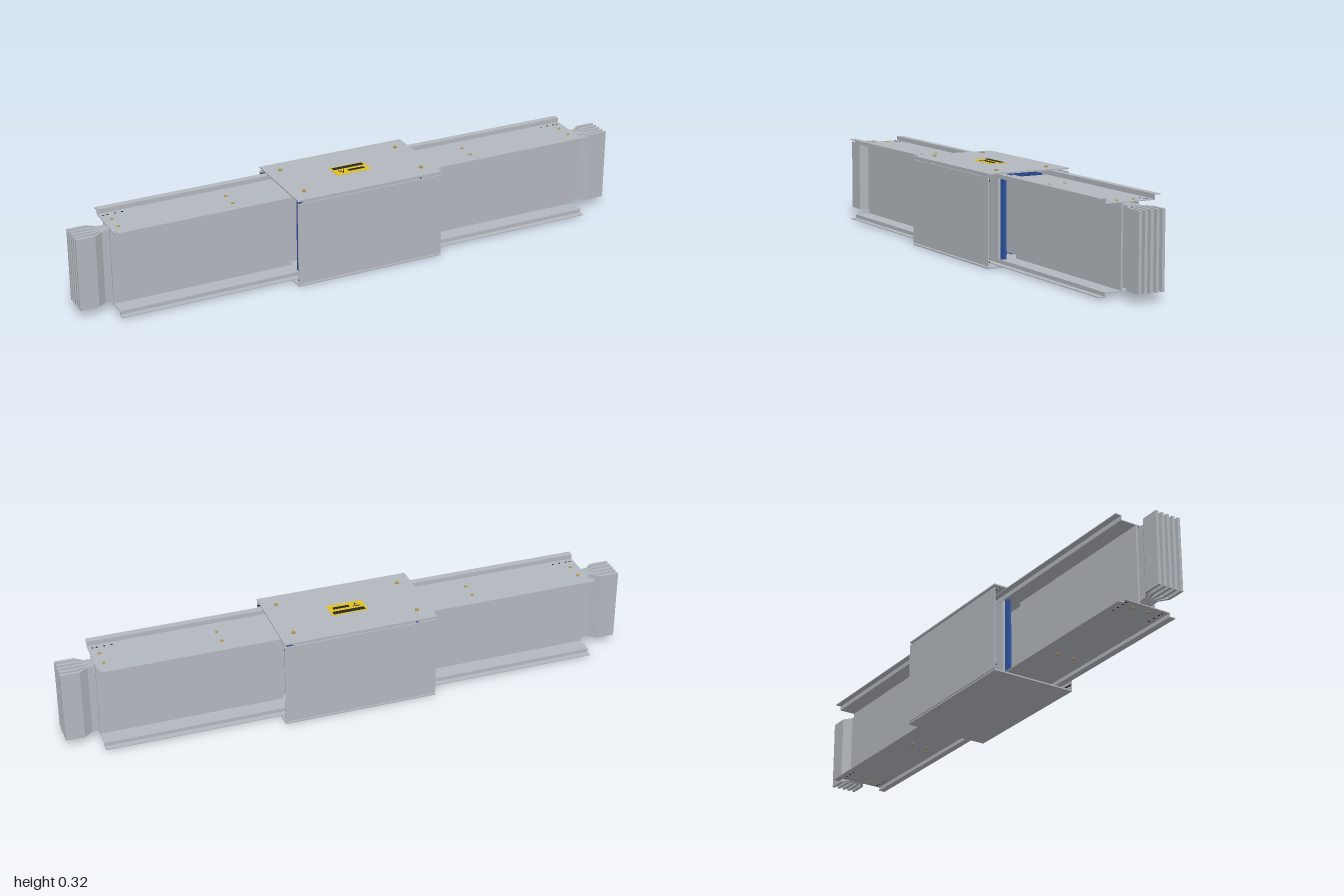
import * as THREE from 'three';

const mat = (name, color) => Object.assign(new THREE.MeshStandardMaterial({ color }), { name });

export function createModel() {
  const steel = mat('painted steel', 0xb3b8bf);
  const brass = mat('brass', 0xb3984f);
  const blue = mat('blue insulation', 0x2f56a6);
  const yellow = mat('label yellow', 0xe0bf22);
  const black = mat('black', 0x24262a);

  const model = new THREE.Group();
  model.name = 'buswayJoint';

  const add = (parent, name, geometry, material) => {
    const mesh = new THREE.Mesh(geometry, material);
    mesh.name = name;
    parent.add(mesh);
    return mesh;
  };
  // Box given by its limits on each axis
  const box = (parent, name, material, [x0, x1], [y0, y1], [z0, z1]) => {
    const mesh = add(parent, name, new THREE.BoxGeometry(x1 - x0, y1 - y0, z1 - z0), material);
    mesh.position.set((x0 + x1) / 2, (y0 + y1) / 2, (z0 + z1) / 2);
    return mesh;
  };
  // Cylinder along z between two depths
  const rod = (parent, name, material, r, x, y, z0, z1, sides = 24) => {
    const g = new THREE.CylinderGeometry(r, r, Math.abs(z1 - z0), sides).rotateX(Math.PI / 2);
    add(parent, name, g, material).position.set(x, y, (z0 + z1) / 2);
  };
  // Upright disc, for screws and holes
  const disc = (parent, name, material, r, x, y, z, h, sides = 12) =>
    add(parent, name, new THREE.CylinderGeometry(r, r, h, sides), material).position.set(x, y, z);

  // Conductor: flat bar that flares from the packed stack at both ends
  const barGeometry = (i) => {
    const p = i * 0.01, s = i * 0.021, h0 = 0.004, h1 = 0.005;
    const path = [[0.03, s, h1], [0.085, s, h1], [0.115, p, h0], [0.905, p, h0], [0.935, s, h1], [1, s, h1]];
    const outline = [
      ...path.map(([x, z, h]) => new THREE.Vector2(x, z - h)),
      ...path.slice().reverse().map(([x, z, h]) => new THREE.Vector2(x, z + h)),
    ];
    const g = new THREE.ExtrudeGeometry(new THREE.Shape(outline), { depth: 0.255, bevelEnabled: false });
    return g.rotateX(Math.PI / 2).translate(0, 0.285, 0);
  };

  // One trunking section, built towards +x
  const section = (name) => {
    const g = new THREE.Group();
    g.name = name;
    for (let i = -2; i <= 2; i++) add(g, 'conductorBar', barGeometry(i), steel);

    box(g, 'topWeb', steel, [0.24, 0.88], [0.292, 0.295], [-0.09, 0.09]);
    box(g, 'bottomWeb', steel, [0.24, 0.88], [0.018, 0.021], [-0.09, 0.09]);
    for (const s of [-1, 1]) {
      const span = (a, b) => (s > 0 ? [a, b] : [-b, -a]);
      box(g, 'sidePanel', steel, [0.24, 0.88], [0.021, 0.292], span(0.026, 0.032));
      box(g, 'topLip', steel, [0.015, 0.88], [0.292, 0.311], span(0.087, 0.09));
      box(g, 'bottomLip', steel, [0.015, 0.88], [0.005, 0.021], span(0.087, 0.09));
      box(g, 'topFlange', steel, [0.015, 0.88], [0.308, 0.311], span(0.09, 0.11));
      box(g, 'bottomFlange', steel, [0.015, 0.88], [0.005, 0.008], span(0.09, 0.11));
      // Screws and small holes on both webs
      for (const y of [0.295, 0.018]) {
        for (const x of [0.45, 0.85]) disc(g, 'webScrew', brass, 0.006, x, y, s * 0.03, 0.004);
        for (const x of [0.8, 0.825, 0.85, 0.865]) disc(g, 'webHole', black, 0.0035, x, y, s * 0.07, 0.001);
      }
    }
    return g;
  };
  const leftSection = section('leftSection');
  const rightSection = section('rightSection');
  rightSection.rotation.y = Math.PI;
  model.add(leftSection, rightSection);

  // Joint cover
  const cover = new THREE.Group();
  cover.name = 'jointCover';
  model.add(cover);
  const coverX = [-0.27, 0.27];
  box(cover, 'topCover', steel, coverX, [0.312, 0.317], [-0.155, 0.155]);
  box(cover, 'bottomCover', steel, coverX, [0, 0.005], [-0.155, 0.155]);
  for (const s of [-1, 1]) {
    const span = (a, b) => (s > 0 ? [a, b] : [-b, -a]);
    box(cover, 'sideCover', steel, coverX, [0.009, 0.304], span(0.151, 0.155));
    for (const y of [0.02, 0.291]) box(cover, 'coverHook', black, coverX, [y, y + 0.004], span(0.148, 0.151));
    for (const x of [-0.22, 0.22]) disc(cover, 'coverScrew', brass, 0.007, x, 0.319, s * 0.095, 0.006, 16);
  }

  // Warning label, with plain marks
  const label = new THREE.Group();
  label.name = 'label';
  model.add(label);
  box(label, 'labelPlate', yellow, [-0.065, 0.062], [0.317, 0.318], [-0.036, 0.03]);
  box(label, 'labelBar', black, [-0.058, 0.055], [0.318, 0.319], [-0.03, -0.014]);
  box(label, 'labelBar', black, [-0.012, 0.046], [0.318, 0.319], [0.001, 0.013]);
  disc(label, 'labelTriangle', black, 0.014, -0.036, 0.3185, 0.005, 0.001, 3);
  disc(label, 'labelTriangleCentre', yellow, 0.009, -0.036, 0.319, 0.005, 0.001, 3);

  // Clamping stack inside the cover
  const stack = new THREE.Group();
  stack.name = 'clampStack';
  model.add(stack);
  for (const z of [-0.0515, -0.0315, -0.0105, 0.0105, 0.0315, 0.0515]) {
    box(stack, 'insulationSheet', blue, [-0.14, 0.14], [0.015, 0.298], [z - 0.0015, z + 0.0015]);
  }
  const by = 0.157;
  for (const s of [-1, 1]) {
    const span = (a, b) => (s > 0 ? [a, b] : [-b, -a]);
    box(stack, 'insulationPlate', blue, [-0.235, 0.235], [0.013, 0.3], span(0.065, 0.073));
    box(stack, 'clampPlate', steel, [-0.22, 0.22], [0.018, 0.295], span(0.08, 0.089));
    rod(stack, 'sleeve', steel, 0.013, 0, by, s * 0.05, s * 0.08);
    rod(stack, 'washer', steel, 0.0375, 0, by, s * 0.1, s * 0.107, 32);
    for (const x of [-0.15, 0.15]) {
      for (const y of [0.055, 0.257]) rod(stack, 'plateBolt', steel, 0.0075, x, y, s * 0.089, s * 0.097, 16);
    }
  }
  rod(stack, 'boltShank', brass, 0.008, 0, by, -0.139, 0.125);
  rod(stack, 'boltHead', brass, 0.02, 0, by, 0.122, 0.137, 6);
  rod(stack, 'nut', brass, 0.019, 0, by, -0.136, -0.117, 6);

  return model;
}
